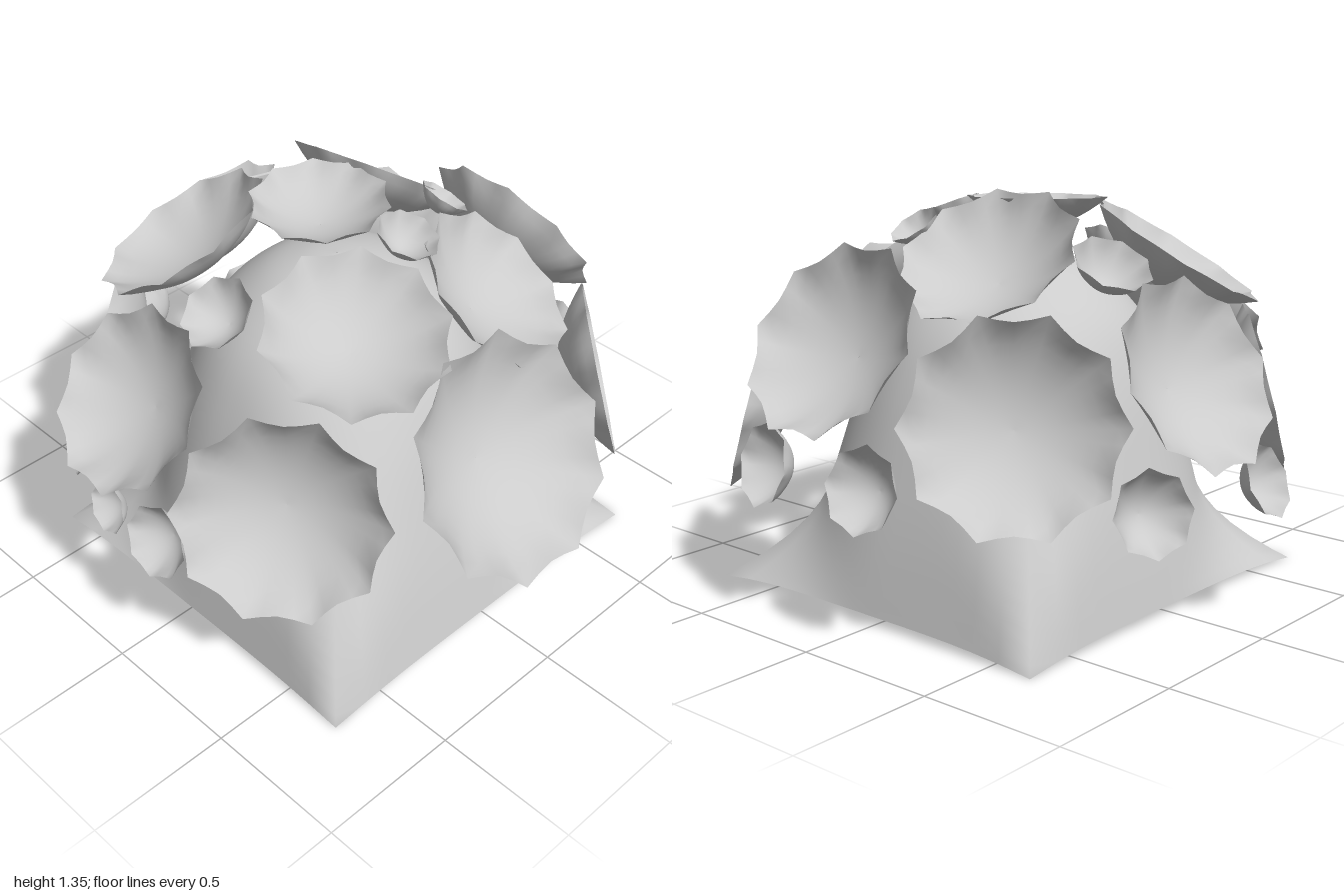
import * as THREE from 'three';

const mat = new THREE.MeshStandardMaterial({ color: 0xcccccc, side: THREE.DoubleSide });

// Surface from rings of equal length, closed around each ring
function loft(rings) {
  const n = rings[0].length, pos = rings.flat(2), idx = [];
  for (let i = 0; i < rings.length - 1; i++) {
    for (let j = 0; j < n; j++) {
      const a = i * n + j, b = i * n + (j + 1) % n;
      idx.push(a, b, a + n, b, b + n, a + n);
    }
  }
  const g = new THREE.BufferGeometry();
  g.setAttribute('position', new THREE.Float32BufferAttribute(pos, 3));
  g.setIndex(idx);
  g.computeVertexNormals();
  return g;
}

// Body: square open foot flowing into a round dome.
// Two opposite corners keep a long soft ridge, the other two flatten out quickly.
function bodyGeometry() {
  const profile = new THREE.SplineCurve([
    [0.7, 0.03], [0.65, 0.25], [0.595, 0.45], [0.51, 0.72],
    [0.41, 0.92], [0.26, 1.06], [0.12, 1.12], [0.002, 1.135],
  ].map(([r, y]) => new THREE.Vector2(r, y)));
  const rings = [];
  for (let i = 0; i <= 36; i++) {
    const p = profile.getPoint(i / 36);
    const h = Math.max(0, p.y - 0.03);
    const power = 1 / THREE.MathUtils.clamp(0.5 * h, 0.004, 0.5);
    const flare = Math.pow(Math.max(0, 1 - h / 0.3), 2);
    const ring = [];
    for (let j = 0; j < 64; j++) {
      const a = j / 64 * Math.PI * 2, c = Math.cos(a), s = Math.sin(a);
      const corner = 1 / Math.max(Math.abs(c), Math.abs(s)) - 1;
      const soft = Math.pow(Math.abs(c) ** power + Math.abs(s) ** power, -1 / power);
      const r = p.x * (c * s > 0 ? soft : 1 + corner * flare);
      const drop = 0.03 * flare * Math.pow(corner / 0.414, 2);
      ring.push([1.02 * r * c, p.y - drop, -0.985 * r * s + 0.035 * Math.max(0, 1 - h)]);
    }
    rings.push(ring);
  }
  return loft(rings);
}

// Blossom: unit bowl opening along +z, with a toothed rim
function blossomGeometry(teeth, depth) {
  const rings = [], n = teeth * 4;
  for (let i = 0; i <= 8; i++) {
    const t = Math.max(i / 8, 0.004), ring = [];
    for (let j = 0; j < n; j++) {
      const a = j / n * Math.PI * 2;
      const tooth = [1, 0.925, 0.895, 0.925][j % 4];
      const r = t * (1 + (tooth - 1) * t ** 4);
      ring.push([r * Math.cos(a), r * Math.sin(a), -depth * (1 - t * t)]);
    }
    rings.push(ring);
  }
  return loft(rings);
}

export function createModel() {
  const model = new THREE.Group();
  const body = new THREE.Mesh(bodyGeometry(), mat);
  body.name = 'body';
  model.add(body);

  const addBlossoms = (name, geometry, list) => {
    const group = new THREE.Group();
    group.name = name + 's';
    list.forEach(([center, normal, radius], i) => {
      const m = new THREE.Mesh(geometry, mat);
      m.name = name + (i + 1);
      m.position.set(...center);
      const dir = new THREE.Vector3(...normal);
      m.lookAt(dir.add(m.position));
      m.scale.setScalar(radius);
      group.add(m);
    });
    model.add(group);
  };

  // Rim centre, facing direction, radius
  addBlossoms('largeBlossom', blossomGeometry(10, 0.43), [
    [[-0.03, 0.77, 0.81], [0, 0.5, 0.85], 0.405],
    [[-0.01, 1.31, -0.07], [-0.06, 1, 0.04], 0.235],
    [[-0.28, 1.15, 0.37], [-0.2, 0.9, 0.38], 0.31],
    [[0.33, 1.04, 0.41], [0.3, 0.76, 0.55], 0.31],
    [[0.41, 1.18, -0.22], [0.58, 0.8, -0.12], 0.305],
    [[-0.28, 1.14, -0.45], [-0.32, 0.85, -0.4], 0.32],
    [[0.785, 0.93, 0.09], [0.85, 0.53, 0], 0.335],
    [[0.66, 0.645, 0.61], [0.66, 0.25, 0.68], 0.31],
    [[0.63, 0.72, -0.52], [0.7, 0.28, -0.6], 0.35],
    [[0.12, 0.84, -0.82], [0.05, 0.47, -0.88], 0.325],
    [[-0.76, 0.85, -0.17], [-0.78, 0.62, -0.05], 0.315],
    [[-0.68, 0.68, 0.45], [-0.72, 0.32, 0.58], 0.35],
    [[-0.44, 0.67, -0.7], [-0.62, 0.24, -0.75], 0.3],
  ]);
  addBlossoms('smallBlossom', blossomGeometry(8, 0.7), [
    [[0.09, 1.27, 0.23], [0.1, 0.92, 0.35], 0.11],
    [[0.38, 1.24, 0.12], [0.5, 0.8, 0.2], 0.09],
    [[0.15, 1.15, -0.51], [0.15, 0.85, -0.5], 0.135],
    [[-0.47, 1.1, -0.06], [-0.6, 0.8, 0], 0.13],
    [[0.9, 0.52, 0.29], [0.95, 0.25, 0.2], 0.14],
    [[0.9, 0.52, -0.15], [0.95, 0.25, -0.1], 0.14],
    [[0.34, 0.45, -0.82], [0.4, 0.25, -0.87], 0.14],
    [[-0.1, 0.48, -0.94], [-0.1, 0.4, -0.9], 0.125],
    [[-0.78, 0.55, -0.45], [-0.85, 0.25, -0.45], 0.135],
    [[-0.9, 0.5, -0.14], [-0.95, 0.25, -0.05], 0.09],
    [[-0.91, 0.53, 0.12], [-0.95, 0.3, 0.1], 0.125],
  ]);
  return model;
}
